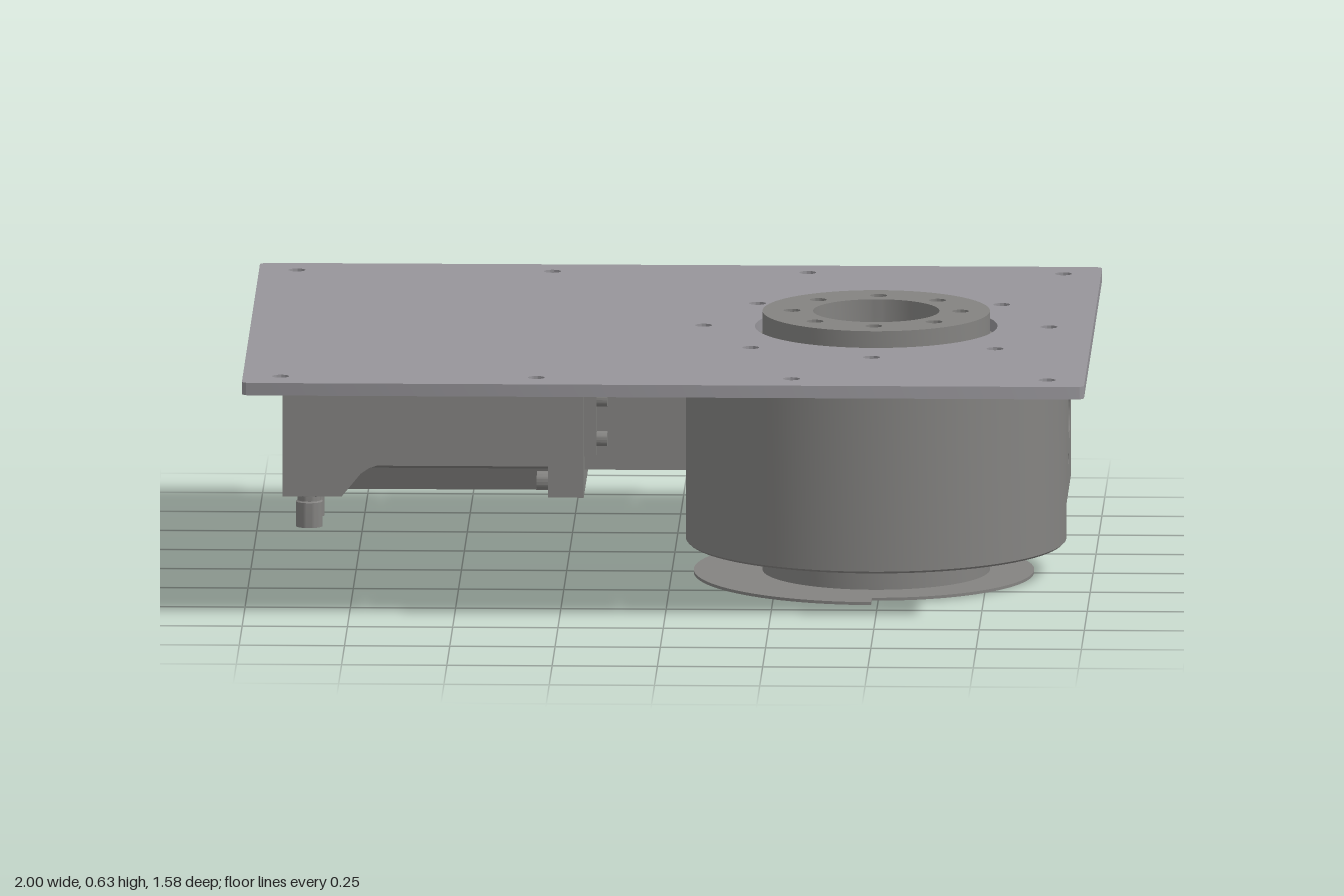
import * as THREE from 'three';
import { toCreasedNormals } from 'three/addons/utils/BufferGeometryUtils.js';

const CX = 0.485;   // turntable axis, x
const MZ = -0.38;   // drive axis, z
const DY = 0.322;   // drive axis, y
const castMetal = new THREE.MeshStandardMaterial({ color: 0x848381 });
const sheetMetal = new THREE.MeshStandardMaterial({ color: 0x97959a });
const copper = new THREE.MeshStandardMaterial({ color: 0xaa9283 });

function add(parent, name, geo, x = 0, y = 0, z = 0, mat = castMetal) {
  const mesh = new THREE.Mesh(toCreasedNormals(geo, 0.5), mat);
  mesh.name = name;
  mesh.position.set(x, y, z);
  parent.add(mesh);
  return mesh;
}

function disc(r) {
  return new THREE.Shape().absarc(0, 0, r, 0, Math.PI * 2, false);
}

function poly(pts) {
  return new THREE.Shape(pts.map(p => new THREE.Vector2(...p)));
}

function rect(x0, y0, x1, y1) {
  return poly([[x0, y0], [x1, y0], [x1, y1], [x0, y1]]);
}

function drill(shape, centres, r) {
  for (const [x, y] of centres) {
    shape.holes.push(new THREE.Path().absarc(x, y, r, 0, Math.PI * 2, true));
  }
  return shape;
}

function boltCircle(r, n, phase = 0) {
  return Array.from({ length: n }, (_, i) => {
    const a = phase + i / n * Math.PI * 2;
    return [r * Math.cos(a), r * Math.sin(a)];
  });
}

function extrude(shape, depth, segments = 32) {
  return new THREE.ExtrudeGeometry(shape, { depth, bevelEnabled: false, curveSegments: segments });
}

// plan shape (x, -z) raised along y
const raise = (shape, h, seg) => extrude(shape, h, seg).rotateX(-Math.PI / 2);
// section (-z, y) swept along x
const sweepX = (shape, len) => extrude(shape, len).rotateY(Math.PI / 2);

export function createModel() {
  const model = new THREE.Group();
  model.name = 'rotaryTable';

  // Mounting plate with rounded corners and through holes
  const W = 1, D = 0.788, R = 0.02;
  const plate = new THREE.Shape();
  plate.absarc(W - R, D - R, R, 0, Math.PI / 2);
  plate.absarc(-W + R, D - R, R, Math.PI / 2, Math.PI);
  plate.absarc(-W + R, -D + R, R, Math.PI, Math.PI * 1.5);
  plate.absarc(W - R, -D + R, R, Math.PI * 1.5, Math.PI * 2);
  for (const z of [-0.697, 0.697]) drill(plate, [-0.91, -0.303, 0.303, 0.91].map(x => [x, z]), 0.02);
  drill(plate, boltCircle(0.41, 8).map(([x, z]) => [x + CX, z]), 0.02);
  drill(plate, [[CX, 0]], 0.288);
  add(model, 'mountingPlate', raise(plate, 0.03), 0, 0.564, 0, sheetMetal);

  // Turntable: housing, output flange, lower boss and cam disc
  const table = new THREE.Group();
  table.name = 'turntable';
  table.position.x = CX;
  model.add(table);

  const profile = [[0.15, 0.079], [0.447, 0.079], [0.452, 0.084], [0.452, 0.556],
    [0.447, 0.561], [0.15, 0.561], [0.15, 0.079]].map(p => new THREE.Vector2(...p));
  add(table, 'housing', new THREE.LatheGeometry(profile, 96));

  const flange = drill(drill(disc(0.27), [[0, 0]], 0.15), boltCircle(0.2, 8), 0.02);
  add(table, 'outputFlange', raise(flange, 0.07, 48), 0, 0.561, 0);
  const boss = drill(drill(disc(0.27), [[0, 0]], 0.15), boltCircle(0.185, 8, Math.PI / 8), 0.016);
  add(table, 'lowerBoss', raise(boss, 0.072, 48), 0, 0.007, 0);

  const cam = new THREE.Shape();
  cam.absarc(0, 0, 0.375, -Math.PI / 2, Math.PI / 2);
  cam.absarc(0, 0, 0.433, Math.PI / 2, Math.PI * 1.5);
  drill(cam, [[0, 0]], 0.22);
  add(table, 'camDisc', raise(cam, 0.007, 48));

  // Sensor beside the lower boss
  add(table, 'sensorBody', new THREE.BoxGeometry(0.09, 0.04, 0.085), -0.18, 0.062, -0.342);
  add(table, 'sensorClip', new THREE.BoxGeometry(0.05, 0.014, 0.09), -0.18, 0.036, -0.352);
  add(table, 'sensorNut', new THREE.CylinderGeometry(0.034, 0.034, 0.03, 6), -0.18, 0.031, -0.342);

  // Gear box: core hugging the bore, drilled side and back panels, round corners
  const gear = new THREE.Group();
  gear.name = 'gearBox';
  table.add(gear);
  const y0 = 0.141, h = 0.359, w = 0.448, t = 0.03, rear = 0.572;
  const core = new THREE.Shape();
  core.moveTo(w - t, 0.067);
  core.lineTo(w - t, rear - t);
  core.lineTo(-w, rear - t);
  core.lineTo(-w, 0.067);
  core.lineTo(-0.293, 0.067);
  core.absarc(0, 0, 0.3, Math.PI - 0.225, 0.225, true);
  add(gear, 'gearBoxCore', raise(core, h), 0, y0, 0);

  const rows = [0.223, 0.418];
  const side = rect(0.04, y0, rear - t, y0 + h);
  drill(side, [[-MZ, DY]], 0.065);
  for (const y of rows) drill(side, [[0.285, y], [0.475, y]], 0.013);
  add(gear, 'sidePanel', sweepX(side, t), w - t, 0, 0);

  const back = rect(-w + t, y0, w - t, y0 + h);
  for (const y of rows) drill(back, [[-0.235, y], [0.255, y]], 0.016);
  add(gear, 'backPanel', extrude(back, t), 0, 0, -rear);
  for (const s of [-1, 1]) {
    add(gear, 'cornerEdge', new THREE.CylinderGeometry(t, t, h, 32), s * (w - t), y0 + h / 2, t - rear);
  }

  const seat = drill(disc(0.064), [[0, 0]], 0.045);
  add(gear, 'shaftSeat', sweepX(seat, 0.024), w - t, DY, MZ);
  add(gear, 'shaftEnd', new THREE.CylinderGeometry(0.045, 0.045, 0.02, 32).rotateZ(Math.PI / 2),
    w - 0.02, DY, MZ, copper);

  // Motor and coupling, lying along x
  const motor = new THREE.Group();
  motor.name = 'motor';
  motor.position.z = MZ;
  model.add(motor);

  add(motor, 'coupling', new THREE.BoxGeometry(0.28, 0.25, 0.25), -0.08, DY, 0);
  add(motor, 'motorFlange', new THREE.BoxGeometry(0.085, 0.362, 0.37), -0.2575, 0.321, 0);
  add(motor, 'clampPlate', new THREE.BoxGeometry(0.03, 0.17, 0.34), -0.2, DY, 0);

  // Body section with a notch along every corner
  const half = [[0.11, 0.145], [0.13, 0.2], [0.185, 0.215], [0.185, 0.427], [0.135, 0.437], [0.115, 0.502]];
  const section = poly([...half, ...half.slice().reverse().map(([a, b]) => [-a, b])]);
  add(motor, 'motorBody', sweepX(section, 0.63), -0.93, 0, 0);

  // Full-depth lower end of the body, sloping up into the notches
  const foot = poly([[-0.93, 0.14], [-0.79, 0.14], [-0.745, 0.195], [-0.725, 0.209], [-0.7, 0.217], [-0.93, 0.217]]);
  add(motor, 'motorFoot', extrude(foot, 0.37), 0, 0, -0.185);

  const screw = (x, y, z, r, len) => add(motor, 'screw',
    new THREE.CylinderGeometry(r, r, len, 20).rotateZ(Math.PI / 2), x, y, z);
  for (const z of [-0.155, 0.155]) {
    for (const y of [0.176, 0.464]) screw(-0.312, y, z, 0.022, 0.03);
    for (const y of [0.276, 0.372]) screw(-0.173, y, z * 0.95, 0.018, 0.026);
  }

  // Cable connectors under the motor
  for (const z of [-0.07, 0.07]) {
    const pts = [[0, 0.15], [0.046, 0.15], [0.046, 0.126], [0.028, 0.122], [0.028, 0.111], [0.032, 0.108],
      [0.032, 0.048], [0.022, 0.048], [0.022, 0.086], [0, 0.086]].reverse();
    add(motor, 'connector', new THREE.LatheGeometry(pts.map(p => new THREE.Vector2(...p)), 28), -0.87, 0, z);
  }

  return model;
}
